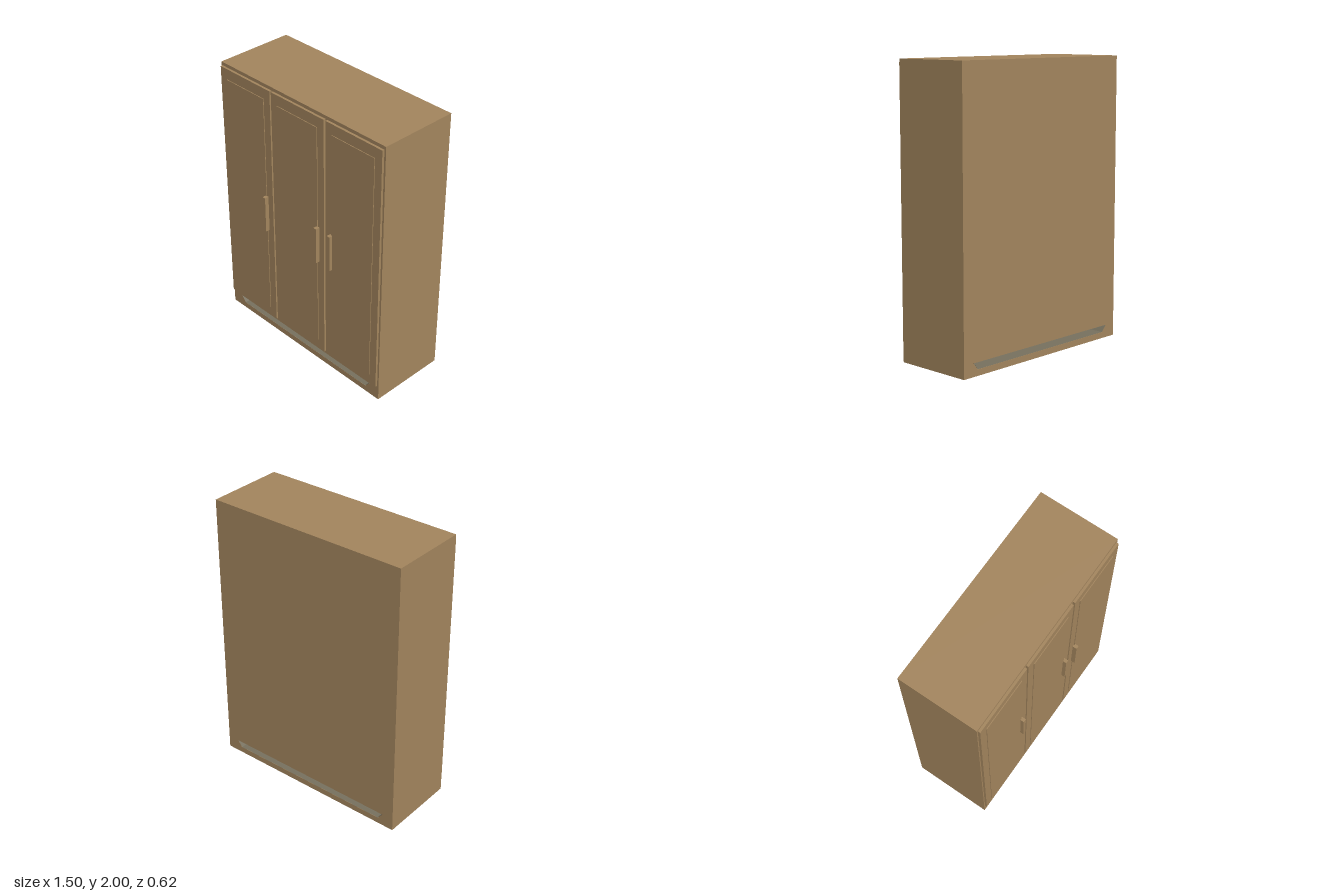
import * as THREE from 'three';

export function createModel() {
  const wood = new THREE.MeshStandardMaterial({ color: 0xa4865e });
  wood.name = 'wood';
  const lining = new THREE.MeshStandardMaterial({ color: 0x77715f, side: THREE.DoubleSide });
  lining.name = 'slotGrey';

  const group = new THREE.Group();
  group.name = 'wardrobe';
  const BACK = -0.31, FRONT = 0.262, DOOR = 0.279;

  const box = (name, x0, x1, y0, y1, z0, z1, parent) => {
    const mesh = new THREE.Mesh(new THREE.BoxGeometry(x1 - x0, y1 - y0, z1 - z0), wood);
    mesh.position.set((x0 + x1) / 2, (y0 + y1) / 2, (z0 + z1) / 2);
    mesh.name = name;
    parent.add(mesh);
  };

  // Cabinet with a tapered slot cut through the plinth from front to back
  const slot = [[-0.665, 0.09], [-0.627, 0.043], [0.627, 0.043], [0.665, 0.09]]
    .map(([x, y]) => new THREE.Vector2(x, y));
  const outline = new THREE.Shape([[-0.75, 0], [0.75, 0], [0.75, 2], [-0.75, 2]]
    .map(([x, y]) => new THREE.Vector2(x, y)));
  outline.holes.push(new THREE.Path(slot));
  const cabinet = new THREE.Mesh(
    new THREE.ExtrudeGeometry(outline, { depth: FRONT - BACK, bevelEnabled: false }), wood);
  cabinet.position.z = BACK;
  cabinet.name = 'cabinet';
  group.add(cabinet);

  // Thin lining on the four faces inside the slot
  const corners = [];
  const inset = slot.map((p) => new THREE.Vector2(p.x * 0.998, 0.0665 + (p.y - 0.0665) * 0.95));
  inset.forEach((a, i) => {
    const b = inset[(i + 1) % inset.length];
    corners.push(a.x, a.y, BACK, b.x, b.y, FRONT, b.x, b.y, BACK);
    corners.push(a.x, a.y, BACK, a.x, a.y, FRONT, b.x, b.y, FRONT);
  });
  const liningGeometry = new THREE.BufferGeometry();
  liningGeometry.setAttribute('position', new THREE.Float32BufferAttribute(corners, 3));
  liningGeometry.computeVertexNormals();
  const slotLining = new THREE.Mesh(liningGeometry, lining);
  slotLining.name = 'slotLining';
  group.add(slotLining);

  // Three doors, each with a shallow raised panel and a bar handle
  const doors = [
    { name: 'rightDoor', x0: -0.74, x1: -0.258, handle: -0.315 },
    { name: 'middleDoor', x0: -0.245, x1: 0.24, handle: 0.185 },
    { name: 'leftDoor', x0: 0.255, x1: 0.737, handle: 0.31 },
  ];
  for (const { name, x0, x1, handle } of doors) {
    const door = new THREE.Group();
    door.name = name;
    box('doorSlab', x0, x1, 0.115, 1.976, FRONT, DOOR, door);
    box('doorPanel', x0 + 0.058, x1 - 0.058, 0.19, 1.9, DOOR, DOOR + 0.005, door);
    box('handle', handle - 0.0125, handle + 0.0125, 0.88, 1.153, DOOR, 0.31, door);
    group.add(door);
  }
  return group;
}
